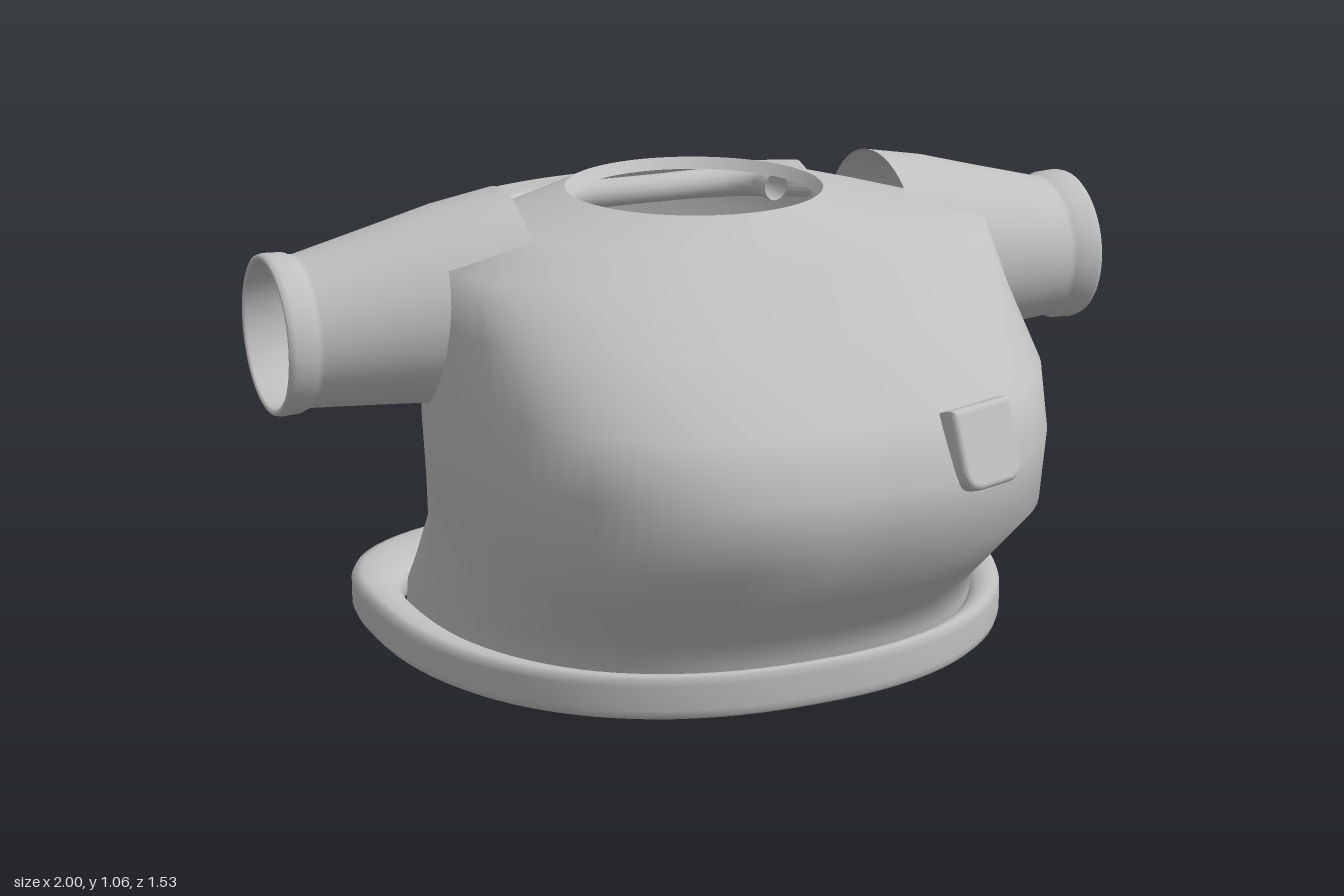
import * as THREE from 'three';

const SEG = 96;

// One closed horizontal outline: half width w, front z f, back z b, widest at z c,
// pf / pb set how square the front and back halves are.
function outline({ y, w, f, b, c, pf = 2.5, pb = 2.5 }) {
  const pts = [];
  for (let i = 0; i < SEG; i++) {
    const a = (i / SEG) * Math.PI * 2, s = Math.sin(a), k = Math.cos(a);
    const p = s > 0 ? pf : pb;
    const x = Math.sign(k) * w * Math.abs(k) ** (2 / p);
    const d = Math.abs(s) ** (2 / p);
    pts.push(new THREE.Vector3(x, y, c + d * (s > 0 ? f - c : b - c)));
  }
  return pts;
}

// Skin a list of rings; faces point outward for rings that run upward.
function loft(rings, closed = false) {
  const n = rings[0].length, pos = [], idx = [];
  rings.forEach(r => r.forEach(p => pos.push(p.x, p.y, p.z)));
  const last = closed ? rings.length : rings.length - 1;
  for (let j = 0; j < last; j++) {
    for (let i = 0; i < n; i++) {
      const i2 = (i + 1) % n, j2 = (j + 1) % rings.length;
      const a = j * n + i, b = j * n + i2, c = j2 * n + i, d = j2 * n + i2;
      idx.push(a, c, b, b, c, d);
    }
  }
  const g = new THREE.BufferGeometry();
  g.setAttribute('position', new THREE.Float32BufferAttribute(pos, 3));
  g.setIndex(idx);
  g.computeVertexNormals();
  return g;
}

export function createModel() {
  const group = new THREE.Group();
  const cloth = new THREE.MeshStandardMaterial({ color: 0xc0c0c0, side: THREE.DoubleSide });
  cloth.name = 'grey cloth';
  const add = (name, geo, parent = group) => {
    const m = new THREE.Mesh(geo, cloth);
    m.name = name;
    parent.add(m);
    return m;
  };

  // Body shell: hem to shoulders, then in to the round neck opening
  const neck = { y: 1.025, w: 0.29, f: 0.18, b: -0.415, c: -0.118, pf: 2, pb: 2 };
  const body = [
    { y: 0.05, w: 0.65, f: 0.47, b: -0.615, c: -0.2, pf: 2.3 },
    { y: 0.10, w: 0.648, f: 0.48, b: -0.605, c: -0.2, pf: 2.3 },
    { y: 0.16, w: 0.64, f: 0.50, b: -0.59, c: -0.15, pf: 2.3 },
    { y: 0.28, w: 0.632, f: 0.64, b: -0.555, c: -0.05, pf: 2.4 },
    { y: 0.40, w: 0.655, f: 0.76, b: -0.53, c: 0.03 },
    { y: 0.55, w: 0.668, f: 0.76, b: -0.52, c: 0.05 },
    { y: 0.68, w: 0.67, f: 0.70, b: -0.507, c: 0.05 },
    { y: 0.81, w: 0.66, f: 0.50, b: -0.495, c: 0.0 },
    { y: 0.93, w: 0.65, f: 0.37, b: -0.47, c: -0.05 },
    { y: 0.98, w: 0.47, f: 0.275, b: -0.44, c: -0.085, pf: 2.25, pb: 2.25 },
    neck,
  ];
  add('body', loft(body.map(outline)));

  // Narrow turned-in edge of the neck
  add('neckEdge', loft([{ ...neck, y: 1.0, w: 0.27, f: 0.155, b: -0.395 }, neck].map(outline)));

  // Hem band: rounded section swept between an outer and an inner outline
  const section = [[1, 0.035], [0.9, 0.018], [0.7, 0.006], [0.45, 0], [0.2, 0], [0.06, 0.007], [0, 0.022],
    [0, 0.078], [0.06, 0.093], [0.2, 0.1], [0.45, 0.1], [0.7, 0.094], [0.9, 0.082], [1, 0.065]];
  const mix = THREE.MathUtils.lerp;
  add('hemBand', loft(section.map(([t, y]) => outline({
    y, w: mix(0.745, 0.648, t), f: mix(0.52, 0.485, t), b: mix(-0.765, -0.595, t),
    c: -0.25, pf: mix(2.25, 2.3, t), pb: mix(2.9, 2.6, t),
  })), true));

  // Sleeves: [x, centre y, centre z, radius], ending in a beaded open cuff
  const sleeve = [[0.46, 0.825, -0.128, 0.235], [0.6, 0.814, -0.136, 0.22], [0.75, 0.798, -0.147, 0.195],
    [0.92, 0.781, -0.155, 0.168], [0.932, 0.78, -0.156, 0.17], [0.945, 0.78, -0.156, 0.176],
    [0.985, 0.78, -0.156, 0.178], [0.997, 0.78, -0.156, 0.175], [1.0, 0.78, -0.156, 0.169],
    [0.995, 0.78, -0.156, 0.16], [0.92, 0.78, -0.156, 0.157], [0.7, 0.803, -0.144, 0.19]];
  for (const side of [1, -1]) {
    const rings = sleeve.map(([x, y, z, r]) => Array.from({ length: 56 }, (_, i) => {
      const a = (i / 56) * Math.PI * 2 * side;
      return new THREE.Vector3(side * x, y + r * Math.sin(a), z + r * Math.cos(a));
    }));
    add(side > 0 ? 'leftSleeve' : 'rightSleeve', loft(rings));
  }

  // Wide rolled collar across the back: a padded crescent, drawn with shape y as -z
  const crescent = new THREE.Shape();
  crescent.moveTo(-0.39, 0.35);
  crescent.lineTo(-0.412, 0.44);
  crescent.bezierCurveTo(-0.25, 0.515, -0.15, 0.522, 0, 0.522);
  crescent.bezierCurveTo(0.15, 0.522, 0.25, 0.515, 0.412, 0.44);
  crescent.lineTo(0.39, 0.35);
  crescent.bezierCurveTo(0.28, 0.44, 0.14, 0.452, 0, 0.452);
  crescent.bezierCurveTo(-0.14, 0.452, -0.28, 0.44, -0.39, 0.35);
  const collarGeo = new THREE.ExtrudeGeometry(crescent, {
    depth: 0.012, bevelEnabled: true, bevelThickness: 0.029, bevelSize: 0.024, bevelSegments: 5, curveSegments: 20,
  });
  collarGeo.rotateX(-Math.PI / 2);
  add('collarRoll', collarGeo).position.y = 0.939;

  // Thin roll just inside the back of the neck
  const innerPath = [[-0.275, -0.26], [-0.262, -0.32], [-0.2, -0.362], [0, -0.366],
    [0.2, -0.362], [0.262, -0.32], [0.275, -0.26]].map(([x, z]) => new THREE.Vector3(x, 0.965, z));
  add('innerCollarRoll', new THREE.TubeGeometry(new THREE.CatmullRomCurve3(innerPath), 48, 0.033, 14));

  // Chest pocket: plate with rounded lower corners, leaning with the cloth
  const s = new THREE.Shape();
  const w = 0.075, h = 0.077, q = 0.035;
  s.moveTo(-w, h);
  s.lineTo(-w, -h + q);
  s.quadraticCurveTo(-w, -h, -w + q, -h);
  s.lineTo(w - q, -h);
  s.quadraticCurveTo(w, -h, w, -h + q);
  s.lineTo(w, h);
  s.closePath();
  const pocketGeo = new THREE.ExtrudeGeometry(s, {
    depth: 0.022, bevelEnabled: true, bevelThickness: 0.014, bevelSize: 0.012, bevelSegments: 4, curveSegments: 6,
  });
  pocketGeo.translate(0, 0, -0.011);
  const pocket = add('pocket', pocketGeo);
  pocket.position.set(0.293, 0.607, 0.702);
  pocket.rotation.set(-0.31, 0.32, 0, 'YXZ');

  return group;
}
